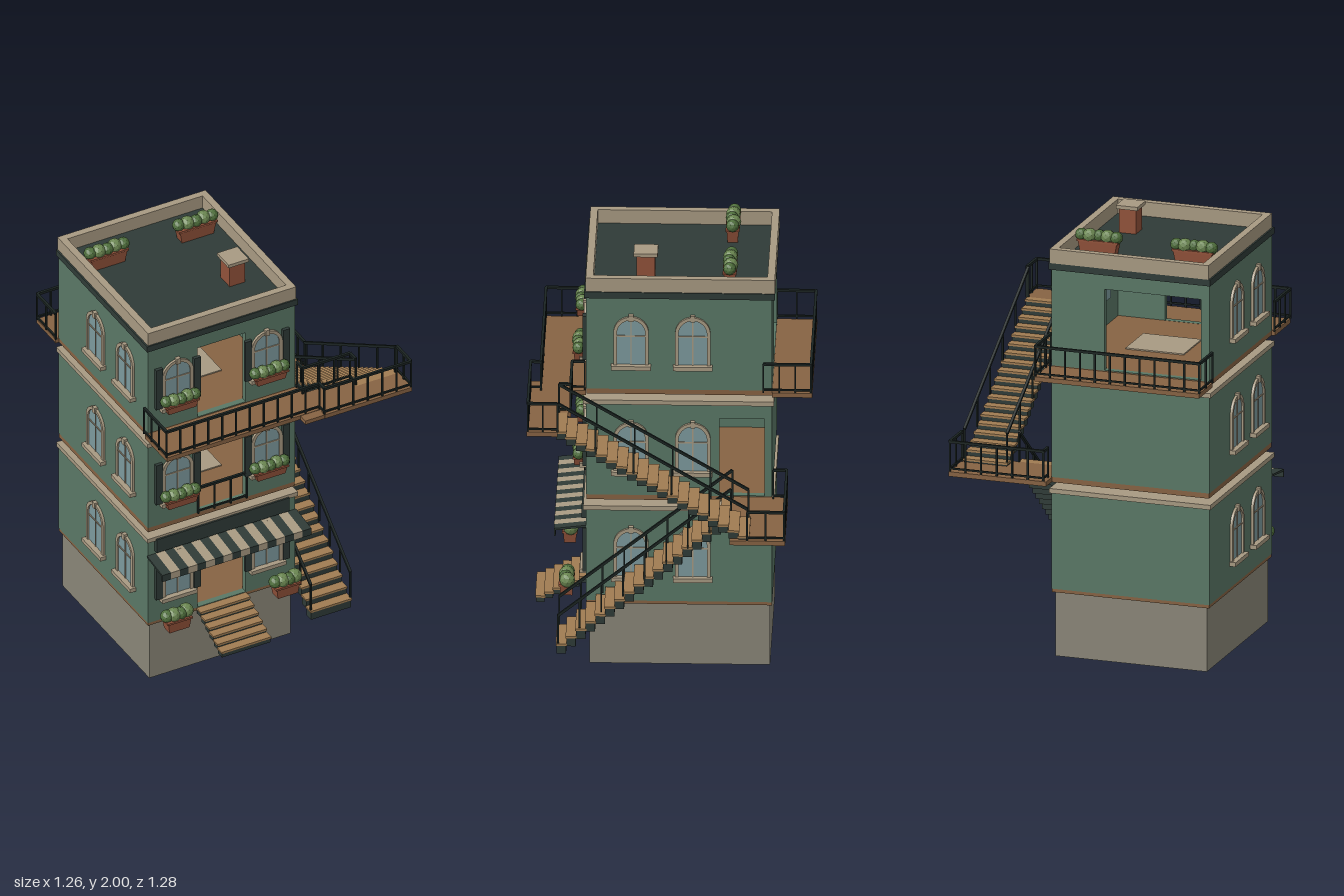
import * as THREE from 'three';

const mat = (color, extra = {}) => {
  const m = new THREE.MeshStandardMaterial({ color, ...extra });
  return m;
};
const M = {
  green: mat(0x5a7866), stone: mat(0x8a8678), tan: mat(0xa89a82), dark: mat(0x2f3b37), rail: mat(0x1b2422),
  wood: mat(0x876343), tread: mat(0xa07c52), glass: mat(0x7d9a9e), clay: mat(0x92523a), brown: mat(0x5e4029),
  leafA: mat(0x4f6f3c, { flatShading: true }), leafB: mat(0x6a8650, { flatShading: true }),
};
const X0 = -0.605, X1 = 0.155, Z0 = -0.46, Z1 = 0.385, T = 0.03;
const FLOORS = [0.32, 0.85, 1.38], H = 0.455;

function add(parent, name, geo, material, x = 0, y = 0, z = 0) {
  const m = new THREE.Mesh(geo, material);
  m.name = name;
  m.position.set(x, y, z);
  parent.add(m);
  return m;
}
// Box given by its min and max corners
function box(parent, name, material, x0, x1, y0, y1, z0, z1) {
  return add(parent, name, new THREE.BoxGeometry(x1 - x0, y1 - y0, z1 - z0), material,
    (x0 + x1) / 2, (y0 + y1) / 2, (z0 + z1) / 2);
}
function group(parent, name, x = 0, y = 0, z = 0) {
  const g = new THREE.Group();
  g.name = name;
  g.position.set(x, y, z);
  parent.add(g);
  return g;
}
// Square bar between two points
function bar(parent, name, material, a, b, w) {
  const m = add(parent, name, new THREE.BoxGeometry(w, w, a.distanceTo(b)), material);
  m.position.copy(a).lerp(b, 0.5);
  m.lookAt(b);
}
const V = (x, y, z) => new THREE.Vector3(x, y, z);

// Railing along a segment, level or sloping
function railing(parent, a, b, gap = 0.075, h = 0.142, low = true) {
  const g = group(parent, 'railing');
  const up = (p, d) => p.clone().add(V(0, d, 0));
  bar(g, 'handrail', M.rail, up(a, h), up(b, h), 0.012);
  if (low) bar(g, 'bottomRail', M.rail, up(a, 0.015), up(b, 0.015), 0.008);
  const n = Math.max(1, Math.round(a.distanceTo(b) / gap));
  for (let i = 0; i <= n; i++) {
    const p = a.clone().lerp(b, i / n);
    box(g, 'baluster', M.rail, p.x - 0.004, p.x + 0.004, p.y, p.y + h, p.z - 0.004, p.z + 0.004);
  }
}
function rails(parent, y, points) {
  for (let i = 1; i < points.length; i++)
    railing(parent, V(points[i - 1][0], y, points[i - 1][1]), V(points[i][0], y, points[i][1]));
}

// Stairs rising from (yA, zA) to (yB, zB)
function stairs(parent, name, x0, x1, yA, zA, yB, zB, n) {
  const g = group(parent, name);
  const dy = (yB - yA) / n, dz = (zB - zA) / n;
  for (let i = 0; i < n; i++) {
    const y = yA + dy * (i + 1), za = zA + dz * i, zb = za + dz * 1.15;
    const lo = Math.min(za, zb), hi = Math.max(za, zb);
    box(g, 'riser', M.dark, x0, x1, y - dy - 0.012, y - 0.01, lo + 0.004, hi - 0.004);
    box(g, 'tread', M.tread, x0 - 0.003, x1 + 0.003, y - 0.01, y, lo, hi);
  }
  return g;
}

// Wall panel in its own plane with a list of rectangular openings [x0, x1, y0, y1]
function wall(parent, name, x0, x1, h, holes) {
  const s = new THREE.Shape([[x0, 0], [x1, 0], [x1, h], [x0, h]].map(p => new THREE.Vector2(...p)));
  for (const [a, b, c, d] of holes)
    s.holes.push(new THREE.Path([[a, c], [a, d], [b, d], [b, c]].map(p => new THREE.Vector2(...p))));
  return add(parent, name, new THREE.ExtrudeGeometry(s, { depth: T, bevelEnabled: false }), M.green);
}

function archPath(Kind, w, h, y0) {
  const p = new Kind();
  p.moveTo(-w, y0);
  p.lineTo(w, y0);
  p.lineTo(w, h - w);
  p.absarc(0, h - w, w, 0, Math.PI, false);
  p.lineTo(-w, y0);
  return p;
}
// Arched window facing +z, its origin at the middle of the sill
function archWindow(parent, x, y, z, turn) {
  const g = group(parent, 'window', x, y, z);
  g.rotation.y = turn;
  const frame = archPath(THREE.Shape, 0.08, 0.245, 0);
  frame.holes.push(archPath(THREE.Path, 0.064, 0.229, 0.006));
  add(g, 'frame', new THREE.ExtrudeGeometry(frame, { depth: 0.012, bevelEnabled: false, curveSegments: 12 }), M.tan);
  add(g, 'glass', new THREE.ExtrudeGeometry(archPath(THREE.Shape, 0.066, 0.231, 0),
    { depth: T + 0.008, bevelEnabled: false, curveSegments: 12 }), M.glass, 0, 0, -T - 0.004);
  box(g, 'mullion', M.tan, -0.003, 0.003, 0, 0.23, 0, 0.008);
  box(g, 'transom', M.tan, -0.064, 0.064, 0.145, 0.151, 0, 0.008);
  box(g, 'keystone', M.tan, -0.011, 0.011, 0.225, 0.255, 0, 0.018);
  box(g, 'sill', M.tan, -0.09, 0.09, -0.014, 0.006, 0, 0.03);
  return g;
}

// Planter with a row of leafy clumps
function planter(parent, name, x, y, z, w, d, h, n, r) {
  const g = group(parent, name, x, y, z);
  const pot = new THREE.BoxGeometry(w, h, d).translate(0, h / 2, 0), p = pot.attributes.position;
  for (let i = 0; i < p.count; i++)
    if (p.getY(i) < h / 2) p.setXYZ(i, p.getX(i) * 0.86, p.getY(i), p.getZ(i) * 0.86);
  pot.computeVertexNormals();
  add(g, 'pot', pot, M.clay);
  box(g, 'rim', M.clay, -w / 2 - 0.004, w / 2 + 0.004, h - 0.01, h, -d / 2 - 0.004, d / 2 + 0.004);
  for (let i = 0; i < n; i++) {
    const k = r * (i % 2 ? 1 : 0.88);
    add(g, 'leaves', new THREE.IcosahedronGeometry(k, 1), i % 2 ? M.leafB : M.leafA,
      (i / (n - 1) - 0.5) * (w - r * 0.6), h + r * 0.45, (i % 3 - 1) * 0.004);
  }
}

export function createModel() {
  const root = new THREE.Group();
  root.name = 'bakeryBuilding';
  box(root, 'foundation', M.stone, -0.59, 0.14, 0, 0.305, -0.45, 0.37);

  // Storeys: slab, four walls, ceiling ledge, windows and furnishings
  FLOORS.forEach((y, f) => {
    const g = group(root, 'storey', 0, y, 0);
    box(g, 'floorSlab', M.wood, X0 + 0.002, X1 - 0.002, f ? -0.025 : -0.016, 0.002, Z0 + 0.002, Z1 - 0.002);
    const cut = f === 0 ? 0.36 : 0.387;
    wall(g, 'frontWall', X0, X1, H, [[-0.35, -0.1, 0.003, cut]]).position.z = Z1 - T;
    wall(g, 'backWall', X0, X1, H, f === 2 ? [[-0.565, -0.1, 0.003, 0.387]] : []).position.z = Z0;
    const left = wall(g, 'sideWall', -Z1 + T, -Z0 - T, H, f === 1 ? [[0.22, 0.425, 0.003, 0.387]] : []);
    left.rotation.y = Math.PI / 2;
    left.position.x = X1 - T;
    const right = wall(g, 'sideWall', -Z1 + T, -Z0 - T, H, []);
    right.rotation.y = Math.PI / 2;
    right.position.x = X0;
    if (f < 2) box(g, 'ledge', M.tan, X0 - 0.008, X1 + 0.008, H, H + 0.022, Z0 - 0.008, Z1 + 0.012);
    else box(g, 'ceiling', M.dark, X0 + T, X1 - T, H - 0.012, H, Z0 + T, Z1 - T);

    for (const x of [-0.455, 0.005]) {
      archWindow(g, x, 0.12, Z1, 0);
      for (const s of [-1, 1])
        box(g, 'shutter', M.dark, x + s * 0.098 - 0.017, x + s * 0.098 + 0.017, 0.125, 0.345, Z1, Z1 + 0.016);
      if (f) planter(g, 'windowBox', x, 0.108, 0.42, 0.165, 0.045, 0.045, 5, 0.032);
    }
    for (const z of [0.18, -0.1]) {
      archWindow(g, X1, 0.12, z, Math.PI / 2);
      archWindow(g, X0, 0.12, z, -Math.PI / 2);
    }
    // Shelf against the wall, and a rug or shop counter
    const shelf = group(g, 'shelf');
    box(shelf, 'shelfBack', M.brown, -0.572, -0.56, 0, 0.3, -0.2, 0.08);
    for (let i = 0; i < 5; i++) box(shelf, 'shelfBoard', M.wood, -0.56, -0.5, i * 0.072, i * 0.072 + 0.01, -0.2, 0.08);
    if (f) box(g, 'rug', M.tan, -0.36, -0.08, 0.002, 0.008, -0.12, 0.12);
    else {
      box(g, 'counter', M.brown, -0.42, -0.05, 0, 0.12, -0.1, 0);
      box(g, 'counterTop', M.tan, -0.43, -0.04, 0.12, 0.135, -0.11, 0.01);
    }
  });

  // Roof with parapet, chimney and planters
  const roof = group(root, 'roof');
  box(roof, 'darkCornice', M.dark, X0 - 0.008, X1 + 0.01, 1.837, 1.868, Z0 - 0.012, Z1 + 0.008);
  const px0 = -0.605, px1 = 0.16, pz0 = -0.472, pz1 = 0.386, pt = 0.034;
  box(roof, 'parapet', M.tan, px0, px1, 1.868, 1.935, pz1 - pt, pz1);
  box(roof, 'parapet', M.tan, px0, px1, 1.868, 1.935, pz0, pz0 + pt);
  for (const x of [px0, px1 - pt]) box(roof, 'parapet', M.tan, x, x + pt, 1.868, 1.935, pz0 + pt, pz1 - pt);
  box(roof, 'chimney', M.clay, -0.06, 0.02, 1.868, 1.985, 0.075, 0.16);
  box(roof, 'chimneyCap', M.tan, -0.072, 0.032, 1.983, 2, 0.063, 0.172);
  for (const x of [-0.463, -0.005]) planter(roof, 'roofPlanter', x, 1.868, -0.265, 0.19, 0.055, 0.07, 5, 0.034);

  // Shop front: blank sign board, striped awning, pots and entry steps
  const shop = group(root, 'shopFront');
  box(shop, 'signBoard', M.dark, -0.57, 0.115, 0.712, 0.785, Z1, Z1 + 0.02);
  const n = 17, w = 0.77 / n;
  for (let i = 0; i < n; i++) {
    const m = i % 2 ? M.tan : M.dark, x = -0.61 + w * (i + 0.5);
    const top = add(shop, 'awningStripe', new THREE.BoxGeometry(w, 0.01, 0.147), m, x, 0.683, 0.457);
    top.rotation.x = 0.12;
    box(shop, 'valance', m, x - w / 2, x + w / 2, 0.642, 0.676, 0.522, 0.53);
  }
  for (const x of [-0.505, 0.055]) planter(shop, 'doorPlanter', x, 0.32, 0.475, 0.12, 0.062, 0.06, 4, 0.036);
  stairs(shop, 'entrySteps', -0.35, -0.1, 0.2, 0.622, 0.318, 0.385, 6);

  // Upper balconies with railings
  const y3 = 1.377, y2 = 0.847;
  const front = group(root, 'frontBalcony');
  box(front, 'deck', M.wood, -0.62, 0.17, 1.355, y3, Z1, 0.592);
  box(front, 'deck', M.wood, 0.17, 0.405, 1.355, y3, 0.445, 0.64);
  box(front, 'deck', M.wood, 0.405, 0.62, 1.355, y3, 0.5, 0.64);
  box(front, 'deck', M.wood, 0.07, 0.17, 1.355, y3 - 0.002, 0.592, 0.638);
  rails(front, y3, [[-0.62, 0.375], [-0.62, 0.588], [0.17, 0.588], [0.17, 0.635], [0.617, 0.635], [0.617, 0.5]]);
  rails(front, y3, [[0.16, 0.39], [0.16, 0.447], [0.405, 0.447], [0.405, 0.5]]);
  const back = group(root, 'backBalcony');
  box(back, 'deck', M.wood, -0.62, 0.172, 1.355, y3, -0.642, Z0);
  rails(back, y3, [[-0.62, -0.46], [-0.62, -0.637], [0.17, -0.637], [0.17, -0.42]]);
  rails(root, 0.852, [[-0.35, 0.395], [-0.1, 0.395]]);

  // Side landing and the two flights of the outer staircase
  const outer = group(root, 'outerStaircase');
  box(outer, 'landing', M.wood, X1, 0.625, 0.825, y2, -0.532, -0.28);
  rails(outer, y2, [[0.17, -0.465], [0.17, -0.527], [0.62, -0.527], [0.62, -0.36]]);
  stairs(outer, 'lowerFlight', 0.168, 0.375, 0.165, 0.515, y2, -0.275, 18);
  stairs(outer, 'upperFlight', 0.403, 0.61, 0.835, -0.37, y3, 0.505, 19);
  for (const x of [0.17, 0.375])
    railing(outer, V(x, 0.205, 0.505), V(x, y2, -0.28), 0.13, 0.14, false);
  for (const x of [0.405, 0.61])
    railing(outer, V(x, 0.86, -0.36), V(x, y3, 0.5), 0.19, 0.14, false);
  return root;
}
